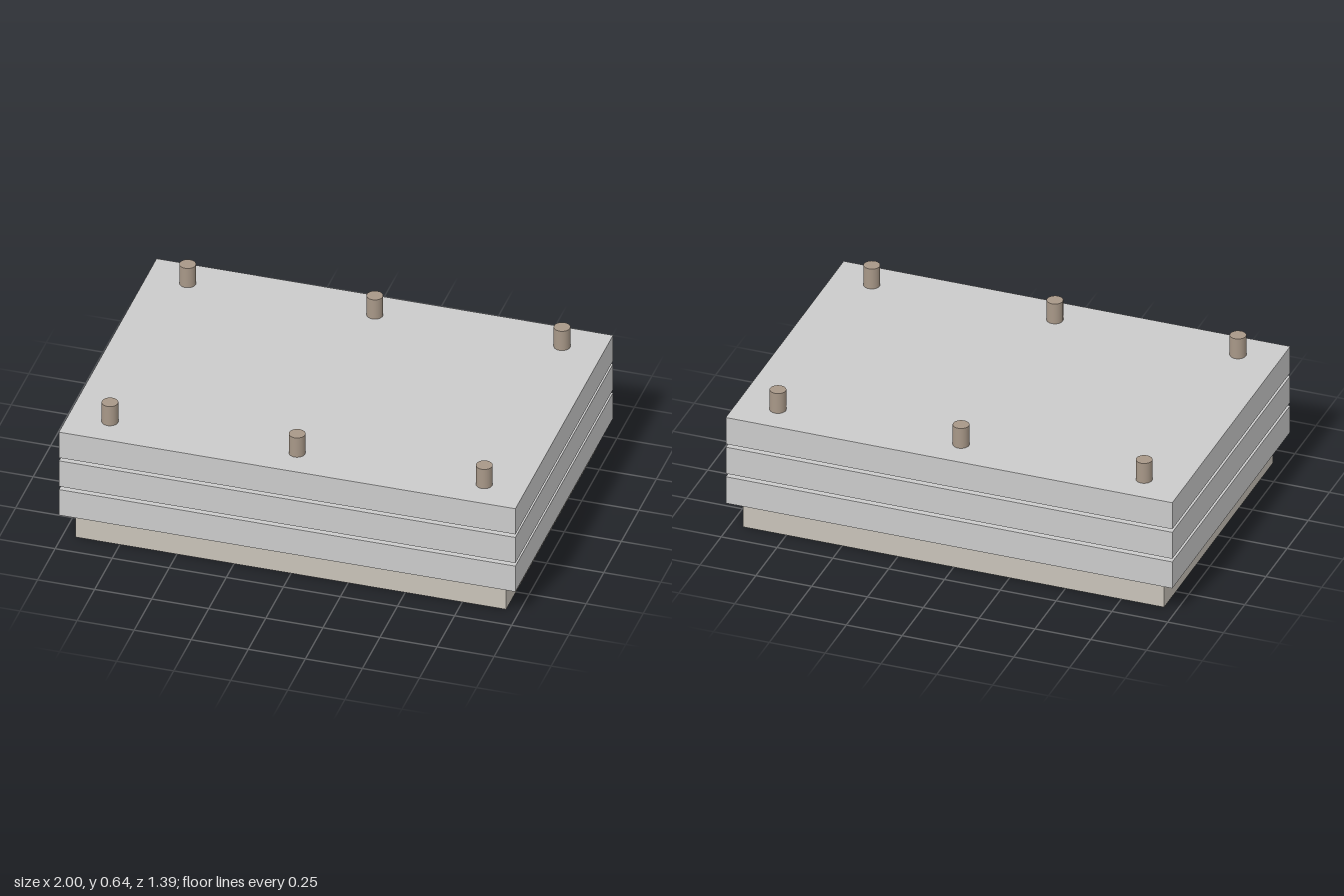
import * as THREE from 'three';

export function createModel() {
  const model = new THREE.Group();
  const plateMat = new THREE.MeshStandardMaterial({ color: 0xcacbcd });
  const baseMat = new THREE.MeshStandardMaterial({ color: 0xc9c3b9 });
  const pinMat = new THREE.MeshStandardMaterial({ color: 0xa89888 });

  function add(name, geometry, material, x, y, z) {
    const mesh = new THREE.Mesh(geometry, material);
    mesh.name = name;
    mesh.position.set(x, y, z);
    model.add(mesh);
  }

  // base block, slightly smaller than the plates
  add('base', new THREE.BoxGeometry(1.886, 0.132, 1.286), baseMat, 0, 0.068, 0);

  // three stacked plates separated by narrow gaps
  const plate = new THREE.BoxGeometry(2, 0.128, 1.392);
  for (let i = 0; i < 3; i++) add('plate', plate, plateMat, 0, 0.198 + i * 0.1435, 0);

  // six pins running through the whole stack, just showing underneath
  const pinHeight = 0.645;
  const pin = new THREE.CylinderGeometry(0.035, 0.035, pinHeight, 32);
  for (const x of [-0.82, 0, 0.82]) {
    for (const z of [-0.554, 0.554]) add('pin', pin, pinMat, x, pinHeight / 2, z);
  }

  return model;
}
